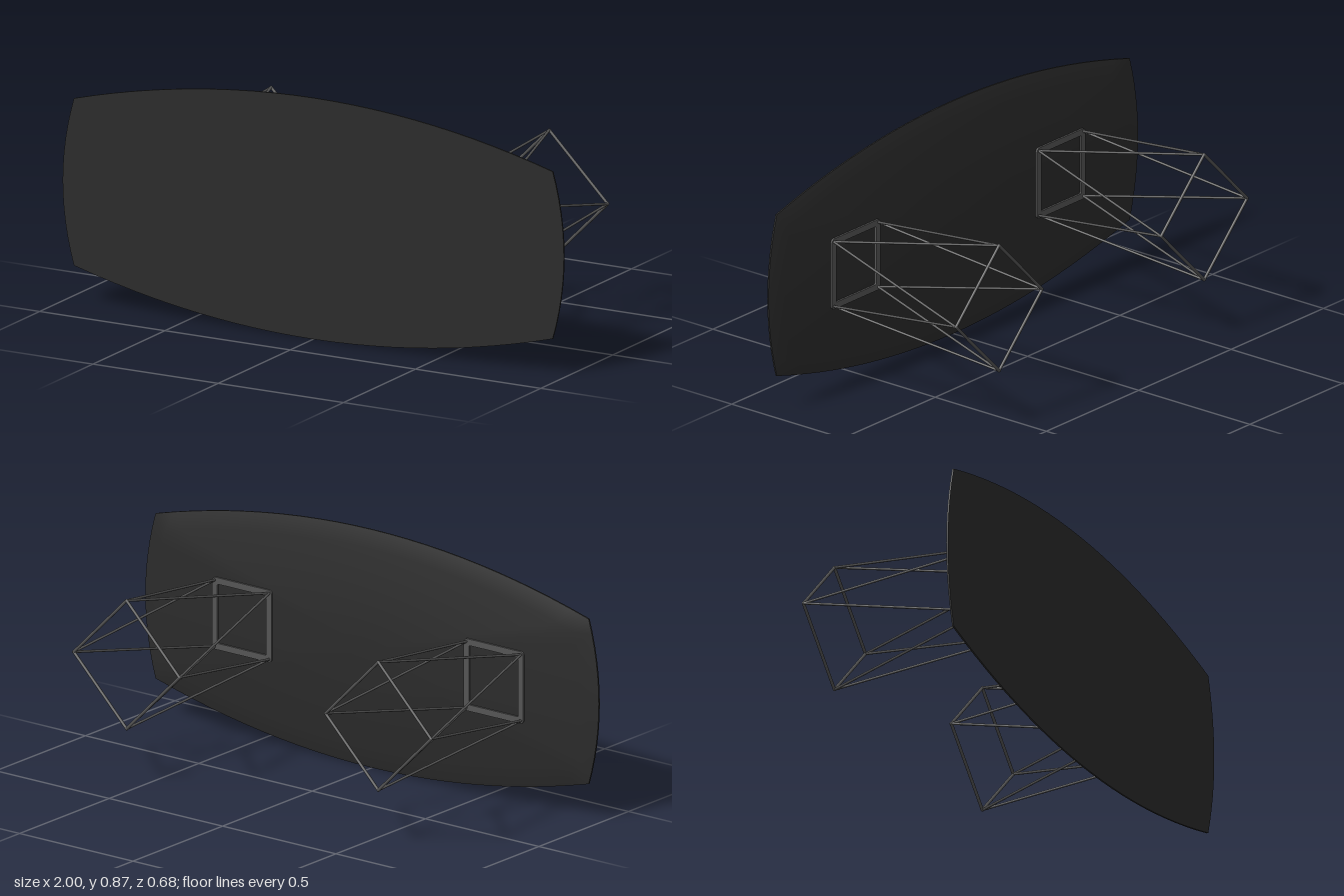
import * as THREE from 'three';
import { toCreasedNormals } from 'three/addons/utils/BufferGeometryUtils.js';

const CY = 0.433; // height of the centre line
const topMaterial = new THREE.MeshStandardMaterial({ color: 0x2b2b2b });
const steelMaterial = new THREE.MeshStandardMaterial({ color: 0x555555 });

// Barrel outline, counter-clockwise from the front: corner (cx, cy), bulging to rx and ry
function barrel(cx, cy, rx, ry, z) {
  const pts = [];
  const n = 24, m = 12;
  const bow = (peak, corner, t) => peak - (peak - corner) * t * t;
  for (const s of [1, -1]) {
    for (let i = 0; i < m; i++) {
      const t = -1 + (2 * i) / m;
      pts.push([s * bow(rx, cx, t), CY + s * t * cy, z]);
    }
    for (let i = 0; i < n; i++) {
      const t = 1 - (2 * i) / n;
      pts.push([s * t * cx, CY + s * bow(ry, cy, t), z]);
    }
  }
  return pts;
}

// Slab: loops from front to back, closed by fans at both ends
function slabGeometry(loops) {
  const n = loops[0].length;
  const last = (loops.length - 1) * n;
  const verts = loops.flat();
  const front = verts.length, back = front + 1;
  verts.push([0, CY, loops[0][0][2]], [0, CY, loops[loops.length - 1][0][2]]);
  const index = [];
  for (let i = 0; i < n; i++) {
    const j = (i + 1) % n;
    index.push(front, i, j, back, last + j, last + i);
    for (let k = 0; k < last; k += n) {
      index.push(k + i, k + n + i, k + j, k + j, k + n + i, k + n + j);
    }
  }
  const g = new THREE.BufferGeometry();
  g.setAttribute('position', new THREE.Float32BufferAttribute(verts.flat(), 3));
  g.setIndex(index);
  return toCreasedNormals(g, 0.35);
}

// Round rod between two points
function rod(name, a, b, r = 0.0055) {
  const dir = b.clone().sub(a);
  const mesh = new THREE.Mesh(new THREE.CylinderGeometry(r, r, dir.length(), 10), steelMaterial);
  mesh.position.copy(a).add(b).multiplyScalar(0.5);
  mesh.quaternion.setFromUnitVectors(new THREE.Vector3(0, 1, 0), dir.normalize());
  mesh.name = name;
  return mesh;
}

function roundedSquare(target, h, r) {
  target.moveTo(h, -h + r);
  target.lineTo(h, h - r).absarc(h - r, h - r, r, 0, Math.PI / 2, false);
  target.lineTo(-h + r, h).absarc(-h + r, h - r, r, Math.PI / 2, Math.PI, false);
  target.lineTo(-h, -h + r).absarc(-h + r, -h + r, r, Math.PI, Math.PI * 1.5, false);
  target.lineTo(h - r, -h).absarc(h - r, -h + r, r, Math.PI * 1.5, Math.PI * 2, false);
  return target;
}

function wireLeg(name) {
  const leg = new THREE.Group();
  leg.name = name;

  // Flat square frame fixed under the top
  const shape = roundedSquare(new THREE.Shape(), 0.131, 0.014);
  shape.holes.push(roundedSquare(new THREE.Path(), 0.108, 0.004));
  const frame = new THREE.Mesh(
    new THREE.ExtrudeGeometry(shape, { depth: 0.008, bevelEnabled: false, curveSegments: 5 }),
    steelMaterial
  );
  frame.position.z = 0.309;
  frame.name = 'mountingFrame';
  leg.add(frame);

  // Diamond foot, turned 45 degrees to the frame, with two struts per frame corner
  const foot = [], corner = [];
  for (let i = 0; i < 4; i++) {
    const a = (i * Math.PI) / 2, b = a + Math.PI / 4;
    foot.push(new THREE.Vector3(Math.cos(a) * 0.233, Math.sin(a) * 0.233, -0.333));
    corner.push(new THREE.Vector3(Math.cos(b) * 0.17, Math.sin(b) * 0.17, 0.312));
  }
  for (let i = 0; i < 4; i++) {
    const next = foot[(i + 1) % 4];
    leg.add(rod('footRod', foot[i], next));
    leg.add(rod('strut', corner[i], foot[i], 0.0045), rod('strut', corner[i], next, 0.0045));
    const joint = new THREE.Mesh(new THREE.SphereGeometry(0.0058, 10, 8), steelMaterial);
    joint.position.copy(foot[i]);
    joint.name = 'footJoint';
    leg.add(joint);
  }
  return leg;
}

export function createModel() {
  const model = new THREE.Group();
  model.name = 'table';

  // Table top with a wide bevel on its underside
  const top = new THREE.Mesh(
    slabGeometry([
      barrel(0.955, 0.3, 1, 0.433, 0.34),
      barrel(0.955, 0.3, 1, 0.433, 0.334),
      barrel(0.9, 0.247, 0.935, 0.367, 0.316),
    ]),
    topMaterial
  );
  top.name = 'tableTop';
  model.add(top);

  for (const s of [1, -1]) {
    const leg = wireLeg(s > 0 ? 'leftWireLeg' : 'rightWireLeg');
    leg.position.set(s * 0.555, CY, 0);
    model.add(leg);
  }
  return model;
}
